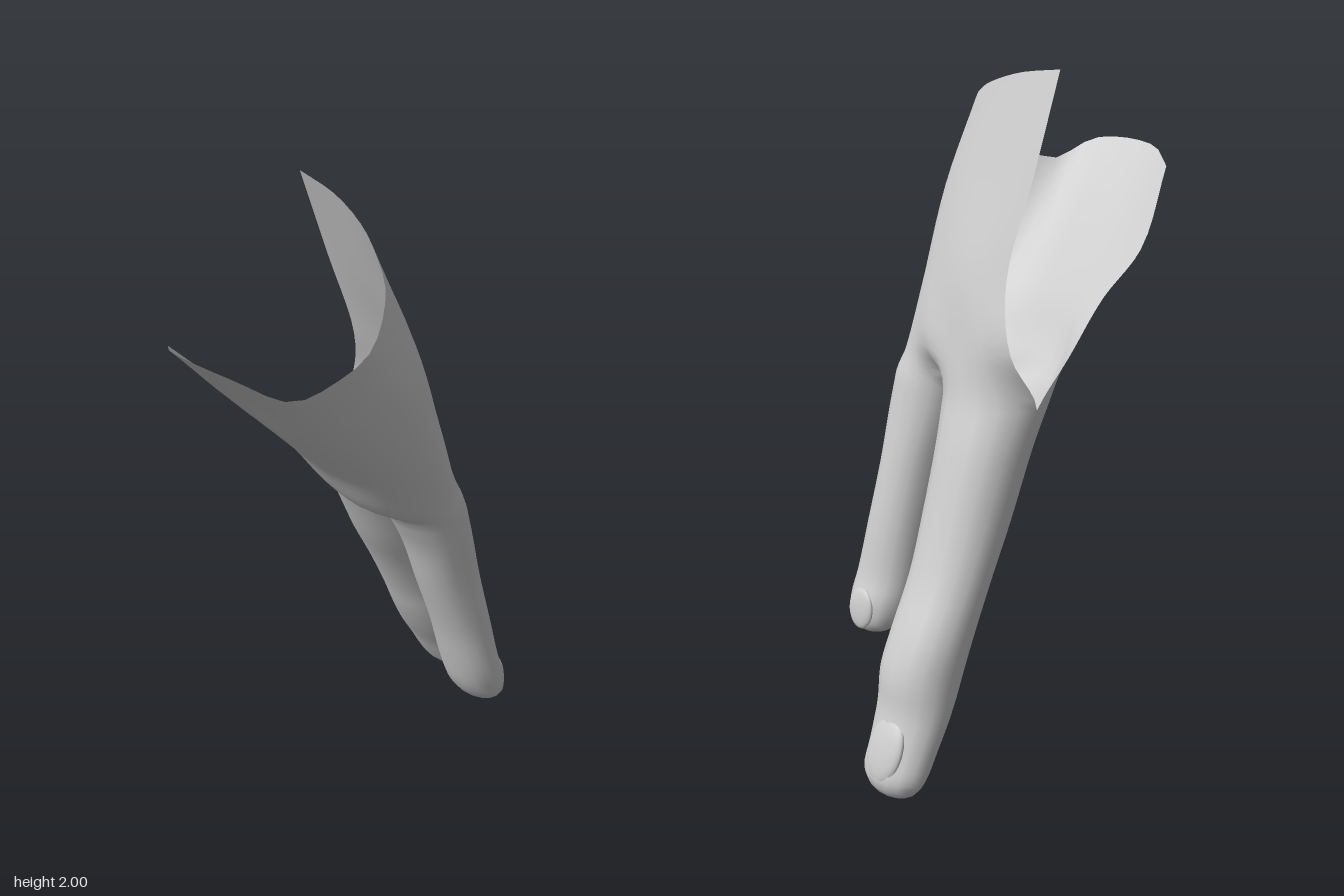
import * as THREE from 'three';
import { mergeGeometries, mergeVertices } from 'three/addons/utils/BufferGeometryUtils.js';

const SIDES = 16;
const vec = (p) => new THREE.Vector3(...p);

// Surface from a grid of points: rows[i][j]
function grid(rows) {
  const n = rows[0].length, index = [];
  for (let i = 0; i < rows.length - 1; i++) {
    for (let j = 0; j < n - 1; j++) {
      const a = i * n + j, b = a + n;
      index.push(a, a + 1, b, a + 1, b + 1, b);
    }
  }
  const g = new THREE.BufferGeometry().setFromPoints(rows.flat());
  g.setIndex(index);
  return g;
}

// Smooth every column through the given rows, stopping at row `last`
function loft(rows, last, steps) {
  const cols = rows[0].map((_, j) => new THREE.CatmullRomCurve3(rows.map((r) => r[j])));
  const out = [];
  for (let s = 0; s <= last * steps; s++) {
    out.push(cols.map((c) => c.getPoint(s / steps / (rows.length - 1))));
  }
  return grid(out);
}

// Elliptical finger ring; point 0 faces the back of the hand, 4 faces +z
function ring([y, x0, x1, z0, z1]) {
  return Array.from({ length: SIDES + 1 }, (_, k) => {
    const t = ((k % SIDES) / SIDES) * Math.PI * 2;
    return new THREE.Vector3(
      (x0 + x1) / 2 + ((x1 - x0) / 2) * Math.cos(t), y,
      (z0 + z1) / 2 + ((z1 - z0) / 2) * Math.sin(t));
  });
}

// Finger sections from knuckle to tip: y, x range, z range
const longFinger = [
  [1.08, -0.03, 0.25, -0.34, 0], [0.95, 0.04, 0.3, -0.335, -0.035],
  [0.75, 0.13, 0.37, -0.335, -0.06], [0.6, 0.21, 0.43, -0.34, -0.08],
  [0.45, 0.28, 0.51, -0.345, -0.09], [0.35, 0.32, 0.55, -0.345, -0.09],
  [0.25, 0.37, 0.565, -0.35, -0.1], [0.15, 0.43, 0.6, -0.35, -0.115],
  [0.07, 0.475, 0.628, -0.345, -0.125], [0.025, 0.505, 0.615, -0.32, -0.15],
  [0.004, 0.535, 0.585, -0.27, -0.2], [0, 0.56, 0.56, -0.235, -0.235],
].map(ring);

const shortFinger = [
  [1.07, -0.065, 0.175, 0.045, 0.29], [0.95, -0.01, 0.2, 0.06, 0.29],
  [0.8, 0.035, 0.235, 0.08, 0.285], [0.6, 0.1, 0.28, 0.095, 0.295],
  [0.45, 0.14, 0.31, 0.1, 0.31], [0.37, 0.165, 0.34, 0.105, 0.31],
  [0.31, 0.2, 0.345, 0.12, 0.3], [0.28, 0.235, 0.33, 0.145, 0.275],
  [0.268, 0.265, 0.305, 0.185, 0.23], [0.266, 0.285, 0.285, 0.207, 0.207],
].map(ring);

// Open hand sections: back of the hand, round the +z side, to the palm edge
const handSections = [
  [[-0.04, 2, -0.26], [-0.05, 1.98, -0.1], [-0.085, 1.945, 0.05], [-0.14, 1.91, 0.17],
    [-0.2, 1.86, 0.27], [-0.33, 1.77, 0.355], [-0.42, 1.71, 0.33], [-0.5, 1.65, 0.25],
    [-0.61, 1.715, 0.16], [-0.635, 1.715, -0.06], [-0.57, 1.67, -0.18]],
  [[0.06, 1.72, -0.265], [0.055, 1.7, -0.1], [0.02, 1.67, 0.08], [-0.06, 1.62, 0.25],
    [-0.18, 1.56, 0.345], [-0.32, 1.49, 0.3], [-0.41, 1.47, 0.17], [-0.43, 1.48, 0],
    [-0.41, 1.47, -0.15], [-0.36, 1.46, -0.28]],
  [[0.15, 1.44, -0.255], [0.165, 1.42, -0.1], [0.12, 1.4, 0.08], [0.05, 1.37, 0.22],
    [-0.07, 1.33, 0.32], [-0.19, 1.28, 0.27], [-0.26, 1.28, 0.13], [-0.28, 1.31, -0.03],
    [-0.24, 1.33, -0.25]],
  [[0.19, 1.25, -0.315], [0.215, 1.23, -0.2], [0.2, 1.2, -0.02], [0.16, 1.19, 0.12],
    [0.1, 1.17, 0.24], [0.02, 1.15, 0.29], [-0.1, 1.13, 0.25], [-0.16, 1.13, 0.12],
    [-0.15, 1.15, -0.05], [-0.12, 1.18, -0.2], [-0.03, 1.2, -0.32]],
];

// Outline running round both fingers, skipping the web between them
function knuckleRow(a, b) {
  const pick = (r, from, count) => Array.from({ length: count }, (_, k) => r[(from + k) % SIDES]);
  return [...pick(a, 12, 8), ...pick(b, 13, 15), ...pick(a, 5, 8)];
}

function handGeometry() {
  const knuckles = [0, 1].map((i) => knuckleRow(longFinger[i], shortFinger[i]));
  const n = knuckles[0].length;
  const sections = handSections.map((pts) =>
    new THREE.CatmullRomCurve3(pts.map(vec)).getSpacedPoints(n - 1));
  const palm = loft([...sections, ...knuckles], sections.length, 5);

  // Web joining the two finger bases
  const a = longFinger[0], b = shortFinger[0];
  const web = grid([[a[5], a[4], a[3]], [b[11], b[12], b[13]]]);

  const fingers = [longFinger, shortFinger].map((f) => loft(f, f.length - 1, 4));
  const g = mergeVertices(mergeGeometries([palm, web, ...fingers]), 1e-4);
  g.computeVertexNormals();
  return g;
}

export function createModel() {
  const group = new THREE.Group();
  group.name = 'openHand';
  const material = new THREE.MeshStandardMaterial({ color: 0xcccccc, side: THREE.DoubleSide });

  const hand = new THREE.Mesh(handGeometry(), material);
  hand.name = 'palmAndFingers';
  group.add(hand);

  // Fingernails, barely raised from the fingertips
  const nails = [
    ['longFingerNail', [0.586, 0.15, -0.235], [0.022, 0.1, 0.07], 0.37],
    ['shortFingerNail', [0.332, 0.35, 0.207], [0.016, 0.065, 0.055], 0.15],
  ];
  for (const [name, position, scale, tilt] of nails) {
    const nail = new THREE.Mesh(new THREE.SphereGeometry(1, 20, 12), material);
    nail.name = name;
    nail.position.set(...position);
    nail.scale.set(...scale);
    nail.rotation.z = tilt;
    group.add(nail);
  }
  return group;
}
